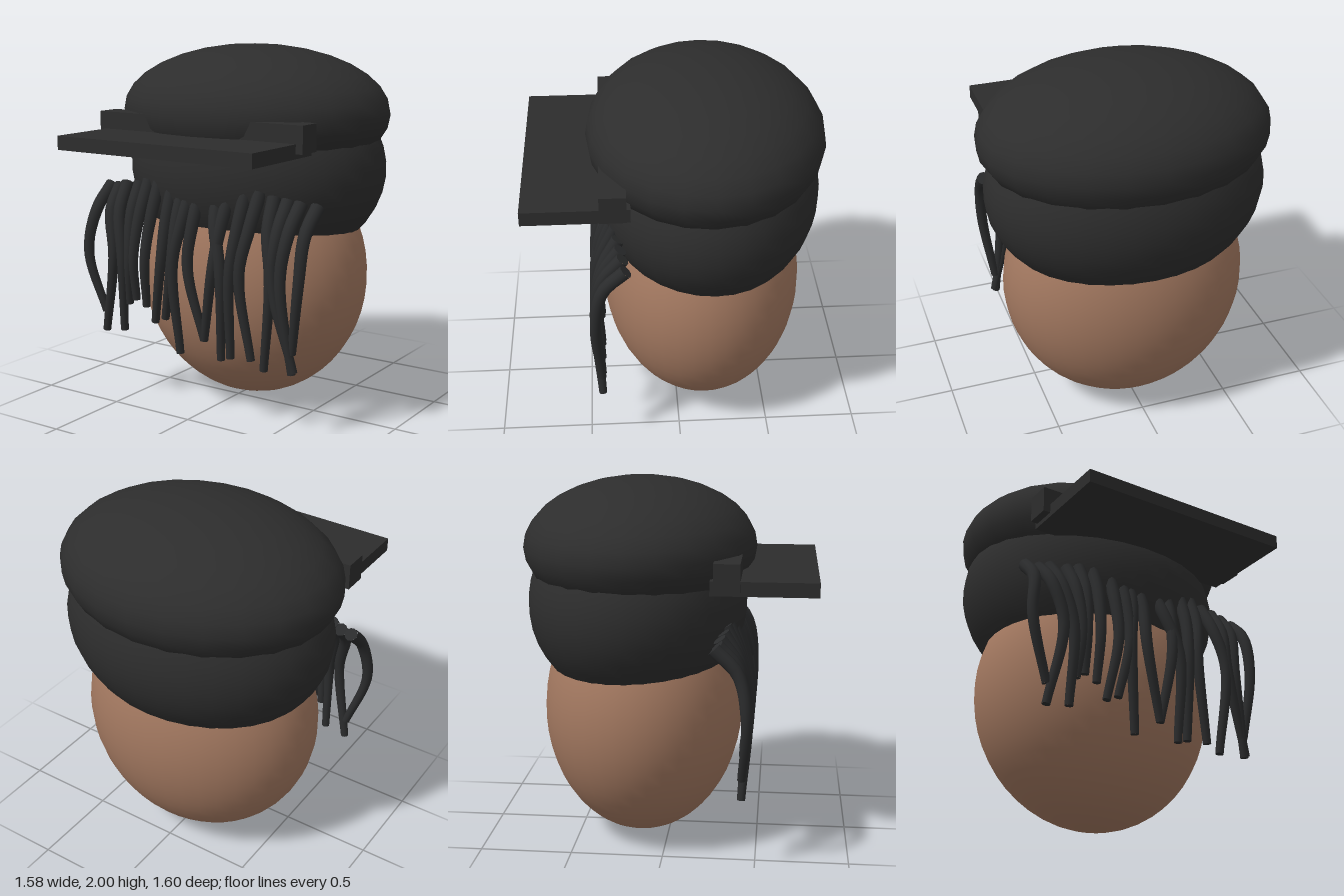
import * as THREE from 'three';

const skin = new THREE.MeshStandardMaterial({ name: 'skin', color: 0xa1775f });
const cloth = new THREE.MeshStandardMaterial({ name: 'black cloth', color: 0x2d2d2d });
const hair = new THREE.MeshStandardMaterial({ name: 'black hair', color: 0x2a2b2c });

function ellipsoid(name, material, y, z, rx, ry, rz, segments = 32) {
  const mesh = new THREE.Mesh(new THREE.SphereGeometry(1, segments, Math.round(segments * 0.67)), material);
  mesh.name = name;
  mesh.scale.set(rx, ry, rz);
  mesh.position.set(0, y, z);
  return mesh;
}

function box(name, x0, x1, y0, y1, z0, z1) {
  const mesh = new THREE.Mesh(new THREE.BoxGeometry(x1 - x0, y1 - y0, z1 - z0), cloth);
  mesh.name = name;
  mesh.position.set((x0 + x1) / 2, (y0 + y1) / 2, (z0 + z1) / 2);
  return mesh;
}

// A tapering lock of hair with closed ends
function strand([topX, topY, midX, botX, botY]) {
  const group = new THREE.Group();
  group.name = 'hairStrand';
  const rootZ = 0.38 - 0.13 * topX * topX;
  const curve = new THREE.CatmullRomCurve3([
    new THREE.Vector3(topX, topY - 0.02, rootZ - 0.04),
    new THREE.Vector3(topX * 0.7 + midX * 0.3, 1.08, 0.405),
    new THREE.Vector3(midX, 0.84, 0.45),
    new THREE.Vector3(botX, botY, 0.425),
  ]);
  const steps = 16, sides = 10;
  const geometry = new THREE.TubeGeometry(curve, steps, 1, sides);
  const pos = geometry.attributes.position;
  const p = new THREE.Vector3();
  const radius = (t) => 0.037 - 0.015 * t;
  for (let i = 0; i < pos.count; i++) {
    const t = Math.floor(i / (sides + 1)) / steps;
    const centre = curve.getPointAt(t);
    p.fromBufferAttribute(pos, i).sub(centre).multiplyScalar(radius(t)).add(centre);
    pos.setXYZ(i, p.x, p.y, p.z);
  }
  group.add(new THREE.Mesh(geometry, hair));
  for (const t of [0, 1]) {
    const cap = new THREE.Mesh(new THREE.CircleGeometry(radius(t), sides), hair);
    const outward = curve.getTangentAt(t).multiplyScalar(t ? 1 : -1);
    cap.position.copy(curve.getPointAt(t));
    cap.quaternion.setFromUnitVectors(new THREE.Vector3(0, 0, 1), outward);
    group.add(cap);
  }
  return group;
}

export function createModel() {
  const model = new THREE.Group();
  model.name = 'cappedHead';

  // Head, hat band and crown overlap one another
  model.add(ellipsoid('head', skin, 0.72, -0.15, 0.68, 0.72, 0.553, 40));
  model.add(ellipsoid('hatBand', cloth, 1.32, -0.18, 0.765, 0.57, 0.603));
  model.add(ellipsoid('crown', cloth, 1.63, -0.165, 0.79, 0.37, 0.637, 24));

  // Peak and the bar behind it
  model.add(box('brim', -0.61, 0.61, 1.465, 1.54, 0.25, 0.8));
  model.add(box('brimBar', -0.65, 0.65, 1.49, 1.635, 0.27, 0.405));

  // Fringe: root x, root y, middle x, tip x, tip y
  const fringe = new THREE.Group();
  fringe.name = 'fringe';
  [
    [-0.68, 1.23, -0.72, -0.62, 0.5],
    [-0.61, 1.23, -0.54, -0.62, 0.39],
    [-0.55, 1.25, -0.48, -0.49, 0.41],
    [-0.45, 1.26, -0.43, -0.45, 0.57],
    [-0.38, 1.28, -0.40, -0.40, 0.6],
    [-0.30, 1.29, -0.32, -0.33, 0.57],
    [-0.20, 1.29, -0.21, -0.27, 0.49],
    [-0.13, 1.27, -0.14, -0.20, 0.52],
    [-0.08, 1.26, -0.13, -0.10, 0.34],
    [-0.02, 1.25, -0.03, 0.06, 0.44],
    [0.09, 1.24, 0.18, 0.17, 0.35],
    [0.17, 1.26, 0.13, 0.06, 0.44],
    [0.27, 1.29, 0.24, 0.23, 0.37],
    [0.35, 1.28, 0.30, 0.36, 0.38],
    [0.43, 1.26, 0.49, 0.44, 0.34],
    [0.51, 1.25, 0.50, 0.62, 0.36],
    [0.58, 1.24, 0.55, 0.61, 0.35],
    [0.67, 1.23, 0.66, 0.61, 0.46],
  ].forEach((row) => fringe.add(strand(row)));
  model.add(fringe);

  return model;
}
